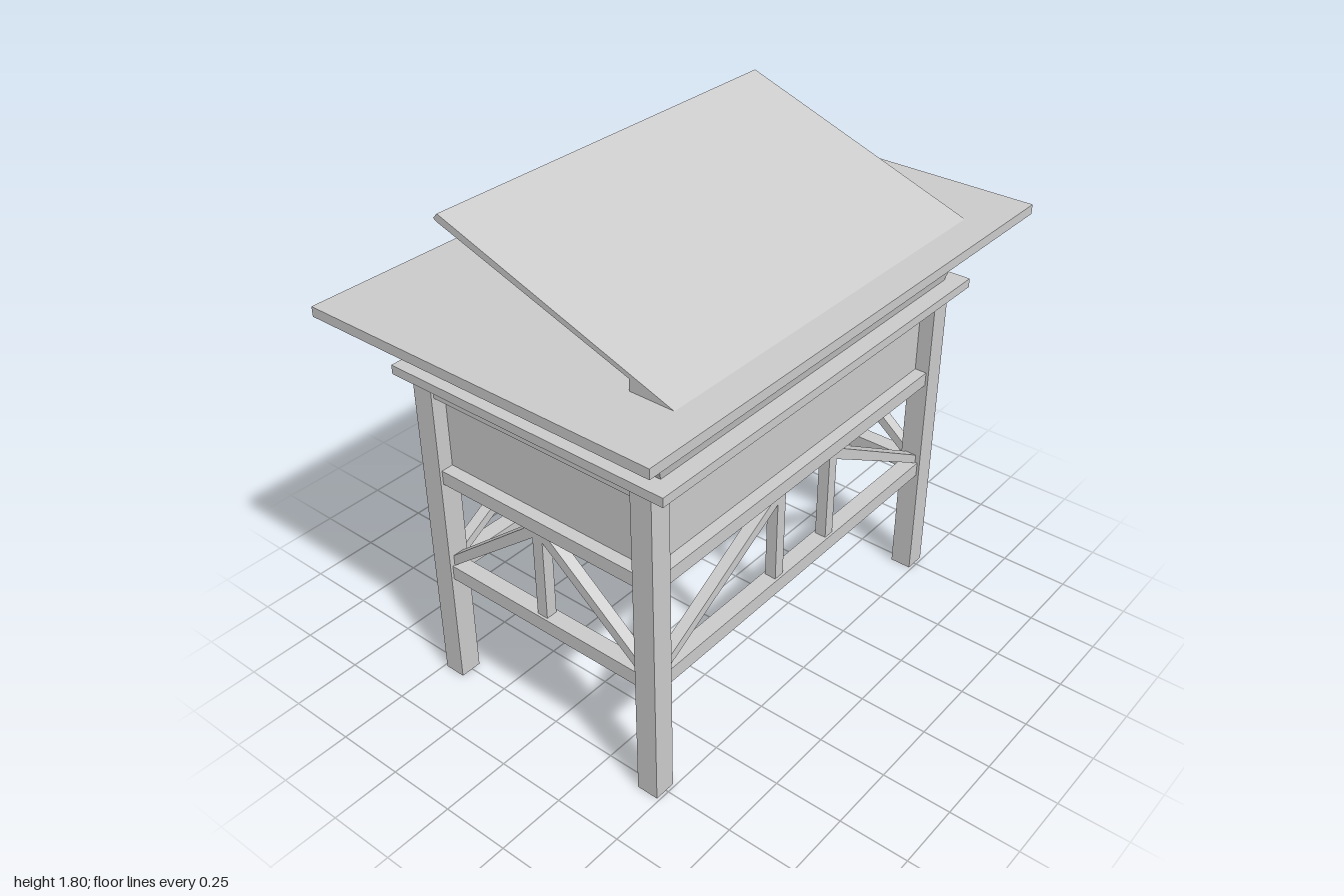
import * as THREE from 'three';

const material = new THREE.MeshStandardMaterial({ color: 0xcccccc });

function add(parent, name, geometry, x = 0, y = 0, z = 0) {
  const mesh = new THREE.Mesh(geometry, material);
  mesh.name = name;
  mesh.position.set(x, y, z);
  parent.add(mesh);
  return mesh;
}

// Box given by its width, depth and the heights of its underside and top
function block(parent, name, w, d, y0, y1, x = 0, z = 0) {
  return add(parent, name, new THREE.BoxGeometry(w, y1 - y0, d), x, (y0 + y1) / 2, z);
}

// Straight prism from an outline, centred along its depth
function prism(points, depth) {
  const shape = new THREE.Shape(points.map(([x, y]) => new THREE.Vector2(x, y)));
  return new THREE.ExtrudeGeometry(shape, { depth, bevelEnabled: false }).translate(0, 0, -depth / 2);
}

// Four-sided flaring cove, smooth up its curve and sharp at the corners
function coveGeometry() {
  const steps = 14, positions = [], index = [];
  const corners = [[-1, 1], [1, 1], [1, -1], [-1, -1]];
  for (let side = 0; side < 4; side++) {
    const base = positions.length / 3;
    const ends = [corners[side], corners[(side + 1) % 4]];
    for (let i = 0; i <= steps; i++) {
      const v = i / steps, flare = 0.35 * v + 0.65 * v * v;
      for (const [sx, sz] of ends) {
        positions.push(sx * (0.755 + 0.183 * flare), 1.24 + 0.216 * v, sz * (0.492 + 0.11 * flare));
      }
      if (i < steps) {
        const a = base + i * 2;
        index.push(a, a + 1, a + 3, a, a + 3, a + 2);
      }
    }
  }
  const geometry = new THREE.BufferGeometry();
  geometry.setAttribute('position', new THREE.Float32BufferAttribute(positions, 3));
  geometry.setIndex(index);
  geometry.computeVertexNormals();
  return geometry;
}

// One side of the frame: rails, posts and diagonal braces between two legs
function trussSide(half, posts, braceEnds, lift) {
  const side = new THREE.Group();
  block(side, 'stretcher', half * 2, 0.06, 0.435, 0.49);
  block(side, 'lowerRail', half * 2, 0.06, 0.83, 0.882);
  block(side, 'upperRail', half * 2, 0.06, 1.16, 1.21);
  for (const x of posts) block(side, 'post', 0.042, 0.042, 0.49, 0.83, x);
  const [left, right] = braceEnds;
  for (const [sign, end] of [[-1, left], [1, right]]) {
    const outline = [
      [half, 0.487], [half, lift], [end + 0.02, 0.83], [end, 0.83], [end, 0.797],
    ].map(([x, y]) => [sign * x, y]);
    add(side, 'brace', prism(outline, 0.042));
  }
  return side;
}

export function createModel() {
  const model = new THREE.Group();
  model.name = 'draftingTable';

  // Legs
  for (const sx of [-1, 1]) {
    for (const sz of [-1, 1]) block(model, 'leg', 0.08, 0.08, 0, 1.21, sx * 0.755, sz * 0.45);
  }

  // Trussed sides
  for (const s of [-1, 1]) {
    const long = trussSide(0.715, [-0.134, 0.155], [0.155, 0.176], 0.522);
    long.name = s > 0 ? 'frontTruss' : 'backTruss';
    long.position.z = s * 0.45;
    const short = trussSide(0.41, [0], [0.021, 0.021], 0.53);
    short.name = s > 0 ? 'leftTruss' : 'rightTruss';
    short.rotation.y = Math.PI / 2;
    short.position.x = s * 0.755;
    model.add(long, short);
  }

  // Panelled chest set back behind the rails
  block(model, 'chest', 1.48, 0.87, 0.84, 1.21);

  // Ledge, cove and tabletop
  block(model, 'ledge', 1.64, 1.11, 1.21, 1.243);
  add(model, 'cove', coveGeometry());
  block(model, 'tabletop', 2, 1.332, 1.455, 1.49);

  // Sloping board with a wedge foot along its front edge
  const profile = [
    [-0.545, 1.49], [-0.385, 1.49], [-0.385, 1.53], [0.347, 1.777], [0.357, 1.785], [0.34, 1.803],
  ];
  const board = add(model, 'slopingBoard', prism(profile, 1.512));
  board.rotation.y = Math.PI / 2;

  return model;
}
